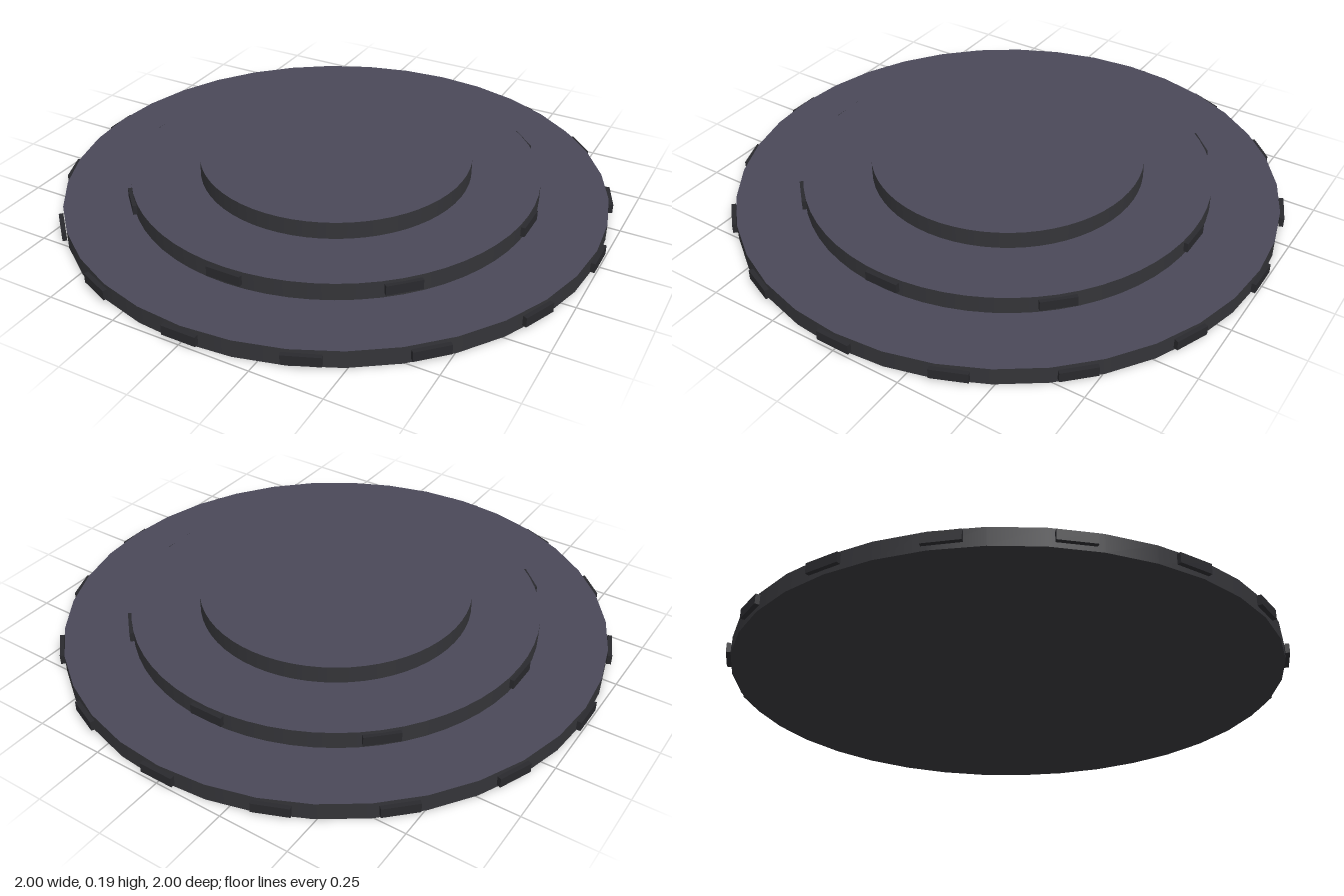
import * as THREE from 'three';

export function createModel() {
  const model = new THREE.Group();
  model.name = 'steppedPlatform';

  const mat = (name, color) => {
    const m = new THREE.MeshStandardMaterial({ color });
    m.name = name;
    return m;
  };
  const topStone = mat('slateTop', 0x4a4858);
  const sideStone = mat('darkSide', 0x343438);
  const blockStone = mat('blockDark', 0x29292d);

  // Three stacked round steps; block counts are for the rim
  const tierHeight = 0.0625;
  const tiers = [
    { name: 'lowerStep', radius: 0.985, sides: 36, blocks: 16 },
    { name: 'middleStep', radius: 0.74, sides: 64, blocks: 8 },
    { name: 'upperStep', radius: 0.493, sides: 64, blocks: 0 },
  ];

  tiers.forEach(({ name, radius, sides, blocks }, i) => {
    const tier = new THREE.Group();
    tier.name = name;
    tier.position.y = (i + 0.5) * tierHeight;

    // Material order: side, top cap, bottom cap
    const disc = new THREE.Mesh(
      new THREE.CylinderGeometry(radius, radius, tierHeight, sides),
      [sideStone, topStone, sideStone]
    );
    disc.name = name + 'Disc';
    tier.add(disc);

    // Small blocks set into the rim
    const blockGeometry = new THREE.BoxGeometry(0.125, 0.035, 0.016);
    for (let k = 0; k < blocks; k++) {
      const angle = (k / blocks) * Math.PI * 2;
      const block = new THREE.Mesh(blockGeometry, blockStone);
      block.name = 'rimBlock';
      const r = radius + 0.004 + (i === 0 ? 0.003 : 0);
      block.position.set(Math.sin(angle) * r, 0.002, Math.cos(angle) * r);
      block.rotation.y = angle;
      tier.add(block);
    }
    model.add(tier);
  });

  return model;
}
